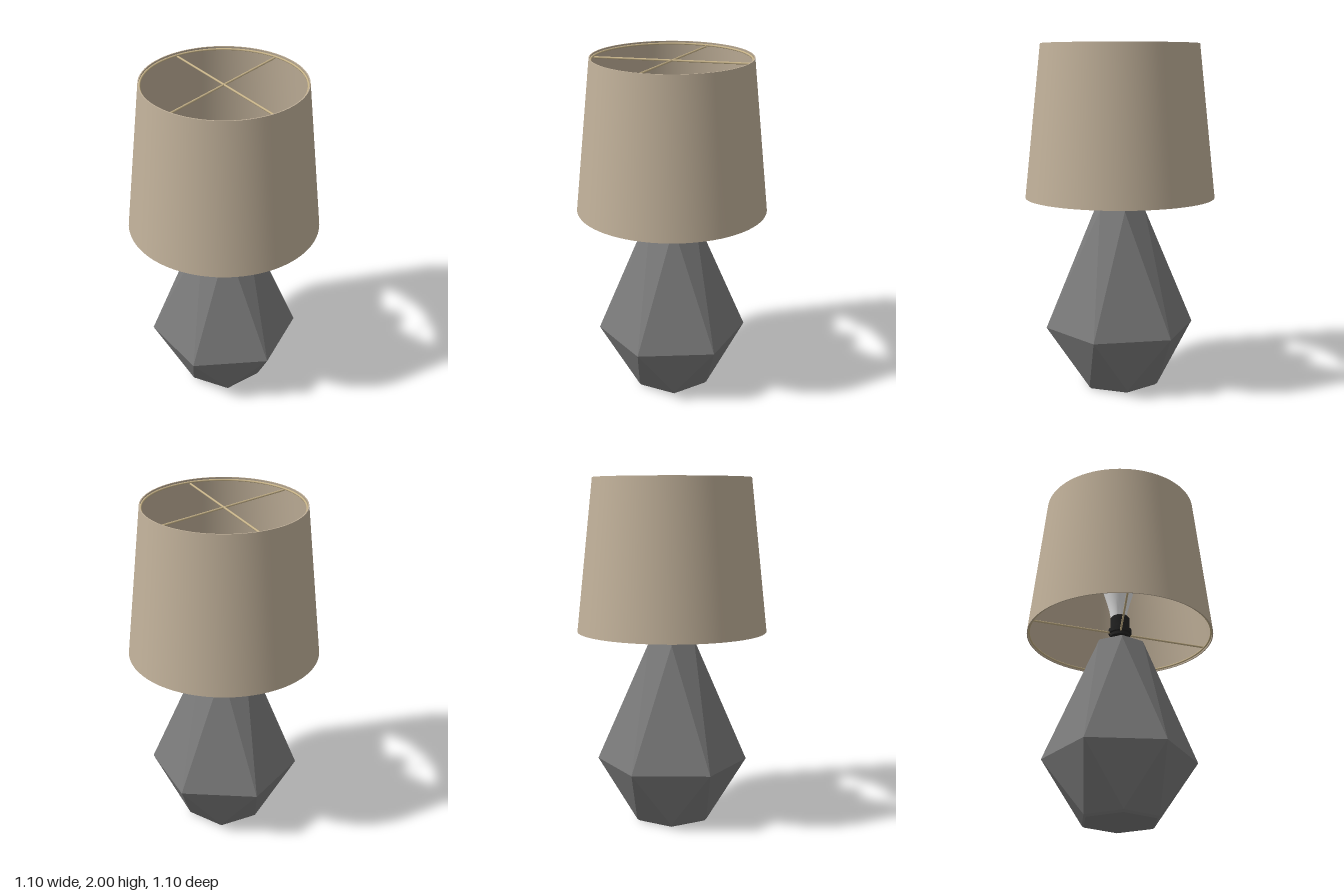
import * as THREE from 'three';
import { toCreasedNormals } from 'three/addons/utils/BufferGeometryUtils.js';

const paint = (name, color) => {
  const m = new THREE.MeshStandardMaterial({ color });
  m.name = name;
  return m;
};

// Faceted body from six-sided rings [radius, y, twist in degrees]
function facetedGeometry(rings) {
  const pos = [];
  const point = ([r, y, twist], k) => {
    const a = THREE.MathUtils.degToRad(k * 60 + twist);
    return [r * Math.cos(a), y, r * Math.sin(a)];
  };
  for (let i = 0; i < rings.length - 1; i++) {
    const a = rings[i], b = rings[i + 1];
    for (let k = 0; k < 6; k++) {
      if (a[0] > 0) pos.push(...point(a, k + 1), ...point(a, k), ...point(b, k));
      if (b[0] > 0) pos.push(...point(a, k + 1), ...point(b, k), ...point(b, k + 1));
    }
  }
  const g = new THREE.BufferGeometry();
  g.setAttribute('position', new THREE.Float32BufferAttribute(pos, 3));
  g.computeVertexNormals();
  return g;
}

const lathe = (points, segments) => toCreasedNormals(
  new THREE.LatheGeometry(points.map(([r, y]) => new THREE.Vector2(r, y)), segments), 0.6);

export function createModel() {
  const lamp = new THREE.Group();
  lamp.name = 'tableLamp';

  const stone = paint('grey ceramic', 0x7a7a7a);
  const fabric = paint('beige fabric', 0xc0b099);
  fabric.side = THREE.DoubleSide;
  const brass = paint('pale brass', 0xc8b48a);
  const black = paint('black plastic', 0x222222);
  const glass = paint('white glass', 0xe6e6e6);

  const add = (name, geometry, material, y = 0) => {
    const mesh = new THREE.Mesh(geometry, material);
    mesh.name = name;
    mesh.position.y = y;
    lamp.add(mesh);
    return mesh;
  };

  // Base: the widest ring is twisted half a step against top and bottom
  add('base', facetedGeometry([
    [0, 0, 0], [0.222, 0, 0], [0.235, 0.012, 0], [0.44, 0.35, 30],
    [0.152, 1.052, 60], [0.146, 1.064, 60], [0.135, 1.07, 60], [0, 1.07, 60],
  ]), stone);

  // Neck, socket and bulb
  add('neck', lathe([
    [0, 1.065], [0.045, 1.065], [0.045, 1.08], [0.038, 1.085],
    [0.038, 1.095], [0.046, 1.1], [0.046, 1.112], [0, 1.112],
  ], 32), brass);
  add('socket', lathe([
    [0, 1.108], [0.045, 1.108], [0.06, 1.118], [0.06, 1.135], [0.068, 1.14],
    [0.068, 1.165], [0.058, 1.17], [0.058, 1.24], [0.05, 1.25], [0, 1.25],
  ], 32), black);
  const profile = [[0.046, 1.24], [0.054, 1.29], [0.07, 1.35], [0.084, 1.395]];
  for (let i = 0; i <= 10; i++) {
    const a = THREE.MathUtils.degToRad(i * 9);
    profile.push([0.096 * Math.cos(a), 1.435 + 0.096 * Math.sin(a)]);
  }
  add('bulb', lathe(profile, 40), glass).position.z = -0.009;

  // Shade: thin tapered wall
  add('shade', lathe([
    [0.55, 1.12], [0.455, 2], [0.449, 2], [0.544, 1.12], [0.55, 1.12],
  ], 72), fabric);

  // Wire rings and the bars that hold them
  const ring = (name, radius, y) => {
    const g = new THREE.TorusGeometry(radius, 0.006, 8, 72);
    g.rotateX(Math.PI / 2);
    add(name, g, brass, y);
  };
  const bar = (name, length, y, degrees) => {
    const g = new THREE.CylinderGeometry(0.006, 0.006, length, 8);
    g.rotateZ(Math.PI / 2);
    add(name, g, brass, y).rotation.y = THREE.MathUtils.degToRad(degrees);
  };
  ring('topRing', 0.446, 1.985);
  ring('bottomRing', 0.538, 1.132);
  for (const angle of [15, 90]) bar('topBar', 0.89, 1.977, angle);
  for (const angle of [0, -75]) bar('bottomBar', 1.075, 1.14, angle);

  return lamp;
}
